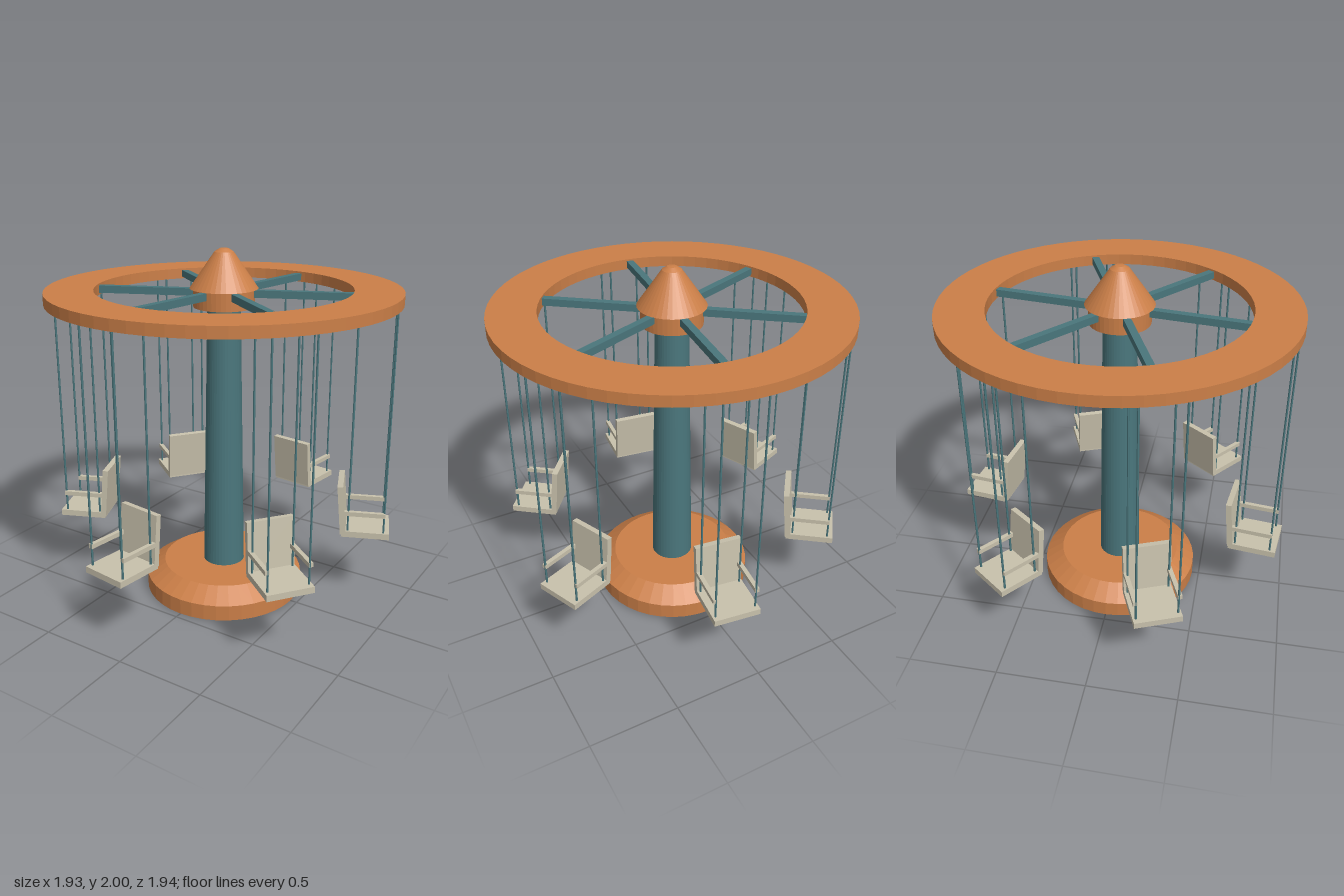
import * as THREE from 'three';

const mat = (name, color, flatShading = false) => {
  const m = new THREE.MeshStandardMaterial({ color, flatShading });
  m.name = name;
  return m;
};

export function createModel() {
  const orange = mat('orange paint', 0xcb7f48, true);
  const teal = mat('teal steel', 0x4a767c, true);
  const cream = mat('cream seat', 0xc8c1ac);
  const SEG = 40;

  const add = (parent, name, geometry, material, x = 0, y = 0, z = 0) => {
    const mesh = new THREE.Mesh(geometry, material);
    mesh.name = name;
    mesh.position.set(x, y, z);
    parent.add(mesh);
    return mesh;
  };
  // Closed turned part from [radius, height] pairs, listed bottom to top
  const turned = (pairs) =>
    new THREE.LatheGeometry(pairs.map(([r, y]) => new THREE.Vector2(r, y)), SEG);

  const carousel = new THREE.Group();
  carousel.name = 'swingCarousel';

  // Bevelled base, tapering mast, hub and cone roof
  add(carousel, 'base', turned([[0, 0], [0.46, 0], [0.46, 0.09], [0.355, 0.16], [0, 0.16]]), orange);
  add(carousel, 'mast', new THREE.CylinderGeometry(0.092, 0.12, 1.54, SEG), teal, 0, 0.92);
  add(carousel, 'hub', new THREE.CylinderGeometry(0.168, 0.168, 0.105, SEG), orange, 0, 1.7375);
  add(carousel, 'roofCone',
    turned([[0, 1.785], [0.187, 1.785], [0.052, 1.98], [0.025, 1.997], [0, 2]]), orange);

  // Flat ring carrying the swings (closed profile: bottom, outside, top, inside)
  add(carousel, 'swingRing',
    new THREE.LatheGeometry(
      [[0.7, 1.73], [0.963, 1.73], [0.963, 1.79], [0.7, 1.79], [0.7, 1.73]]
        .map(([r, y]) => new THREE.Vector2(r, y)), 64), orange);

  const spokeGeo = new THREE.BoxGeometry(0.56, 0.04, 0.04);
  const seatGeo = new THREE.BoxGeometry(0.268, 0.035, 0.26);
  const backGeo = new THREE.BoxGeometry(0.032, 0.29, 0.26);
  const armGeo = new THREE.BoxGeometry(0.235, 0.025, 0.024);
  const chainGeo = new THREE.CylinderGeometry(0.006, 0.006, 1.31, 6);

  // Six arms, each built along +x and turned into place
  for (let i = 0; i < 6; i++) {
    const arm = new THREE.Group();
    arm.name = `swingArm${i + 1}`;
    arm.rotation.y = -THREE.MathUtils.degToRad(37.4 + i * 60);
    carousel.add(arm);

    add(arm, 'spoke', spokeGeo, teal, 0.425, 1.76);

    // Outward-facing chair with a reclined back
    add(arm, 'seat', seatGeo, cream, 0.829, 0.4325);
    add(arm, 'backrest', backGeo, cream, 0.692, 0.573).rotation.z = 0.09;
    for (const side of [-1, 1]) {
      add(arm, 'armrest', armGeo, cream, 0.8175, 0.558, side * 0.118);
      for (const r of [0.73, 0.93]) add(arm, 'chain', chainGeo, teal, r, 1.09, side * 0.113);
    }
  }
  return carousel;
}
